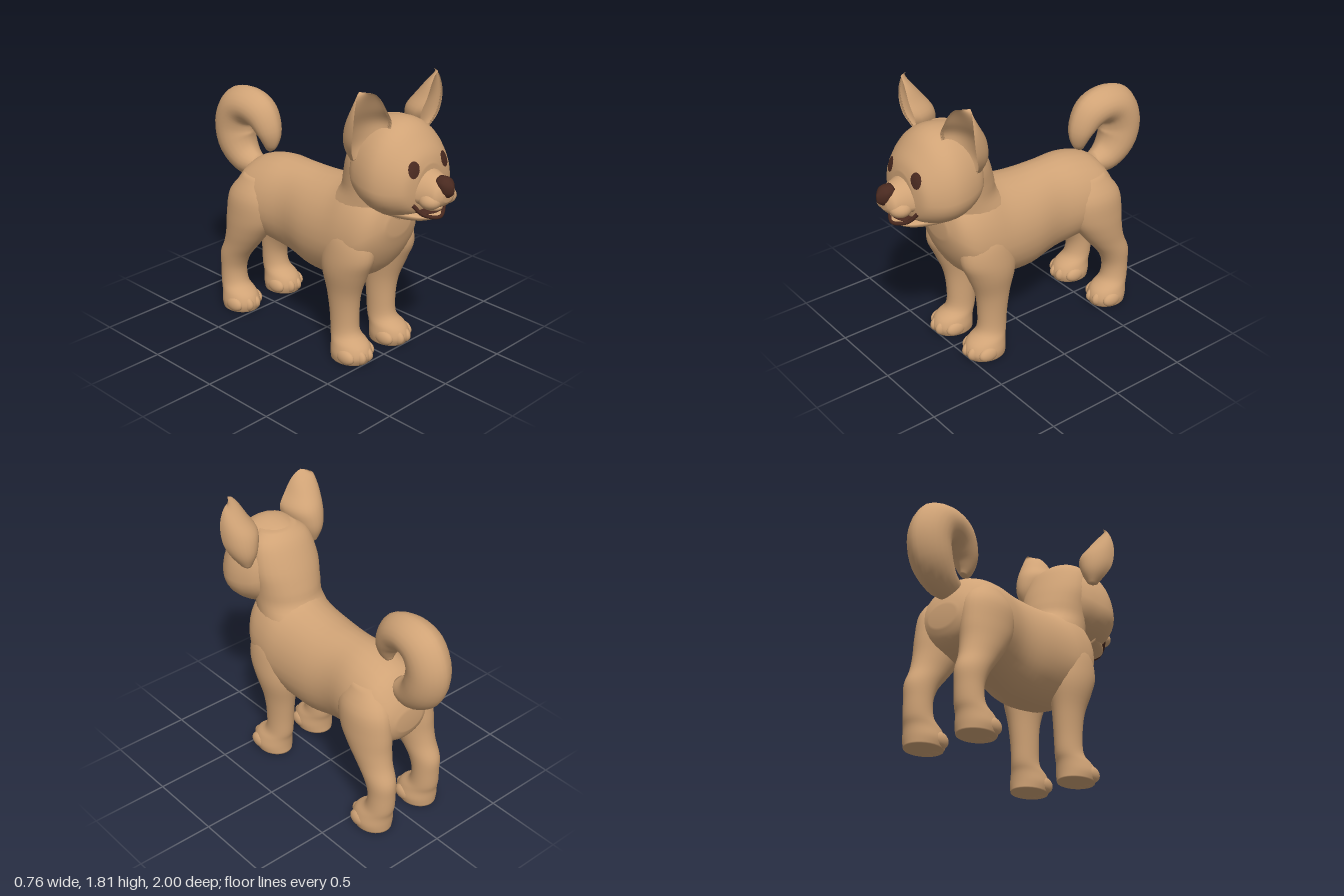
import * as THREE from 'three';

const fur = new THREE.MeshStandardMaterial({ color: 0xd0a376 });
fur.name = 'tanFur';
const dark = new THREE.MeshStandardMaterial({ color: 0x4a2a20 });
dark.name = 'darkBrown';

// Smoothly resample a short list of section parameters
function resample(sections, steps) {
  const out = [];
  const n = sections.length - 1;
  for (let k = 0; k <= n * steps; k++) {
    const i = Math.min(Math.floor(k / steps), n - 1), t = k / steps - i;
    const [a, b, c, d] = [i - 1, i, i + 1, i + 2].map((j) => sections[Math.max(0, Math.min(n, j))]);
    out.push(b.map((v, j) => 0.5 * (2 * v + (c[j] - a[j]) * t
      + (2 * a[j] - 5 * v + 4 * c[j] - d[j]) * t * t
      + (3 * v - a[j] - 3 * c[j] + d[j]) * t * t * t)));
  }
  return out;
}

// Closed skin through rings; ring(section, angle) gives a point
function loft(sections, ring, sides = 28, steps = 4) {
  const rows = resample(sections, steps);
  const pos = [], idx = [];
  for (const s of rows) for (let j = 0; j < sides; j++) pos.push(...ring(s, (j / sides) * Math.PI * 2));
  const last = rows.length - 1;
  for (let i = 0; i < last; i++) for (let j = 0; j < sides; j++) {
    const a = i * sides + j, b = i * sides + (j + 1) % sides;
    idx.push(a, b, a + sides, b, b + sides, a + sides);
  }
  for (const r of [0, last]) {
    const c = [0, 0, 0], centre = pos.length / 3;
    for (let j = 0; j < sides; j++) for (let k = 0; k < 3; k++) c[k] += pos[(r * sides + j) * 3 + k] / sides;
    pos.push(...c);
    for (let j = 0; j < sides; j++) {
      const a = r * sides + j, b = r * sides + (j + 1) % sides;
      idx.push(...(r ? [a, b, centre] : [b, a, centre]));
    }
  }
  // Turn the faces outward
  const P = (i) => new THREE.Vector3().fromArray(pos, i * 3);
  let volume = 0;
  for (let i = 0; i < idx.length; i += 3) volume += P(idx[i]).dot(P(idx[i + 1]).cross(P(idx[i + 2])));
  if (volume < 0) idx.reverse();
  const g = new THREE.BufferGeometry();
  g.setAttribute('position', new THREE.Float32BufferAttribute(pos, 3));
  g.setIndex(idx);
  g.computeVertexNormals();
  return g;
}

// Section [z, bottom, top, halfWidth, height of widest point]
const alongZ = ([z, lo, hi, w, mid], a) => {
  const s = Math.sin(a);
  return [w * Math.cos(a), mid + s * (s > 0 ? hi - mid : mid - lo), z];
};
// Section [y, centreX, halfWidth, centreZ, halfDepth]
const alongY = (side) => ([y, cx, w, cz, d], a) => [side * (cx + w * Math.cos(a)), y, cz + d * Math.sin(a)];
// Section [y, innerX, outerX, frontZ, backZ]: a crescent, hollow to the front
const earRing = (side) => ([y, xi, xo, zf, zb], a) => {
  const u = (1 - Math.cos(a)) / 2, s = Math.sin(a);
  const depth = s >= 0 ? s : -s * 0.6;
  return [side * (xi + (xo - xi) * u), y, zf - 0.06 * u * u - (zf - zb) * depth * (1 - 0.25 * u)];
};
// Section [z, y, radius, halfWidth], radius measured away from the curl's centre
const tailRing = ([z, y, r, w], a) => {
  const dir = new THREE.Vector2(z + 0.67, y - 1.17).normalize();
  const s = Math.sin(a), c = Math.cos(a) * r;
  return [w * Math.sign(s) * Math.abs(s) ** 1.25, y + dir.y * c, z + dir.x * c];
};

export function createModel() {
  const group = new THREE.Group();
  group.name = 'puppy';
  const add = (name, geometry, material = fur) => {
    const m = new THREE.Mesh(geometry, material);
    m.name = name;
    group.add(m);
    return m;
  };
  const blob = (name, p, r, material = fur) => {
    const m = add(name, new THREE.SphereGeometry(1, 20, 14), material);
    m.position.set(...p);
    m.scale.set(...r);
    return m;
  };

  add('torso', loft([
    [-0.72, 0.69, 0.83, 0.1, 0.76], [-0.68, 0.61, 0.93, 0.19, 0.77], [-0.58, 0.56, 1.05, 0.25, 0.79],
    [-0.4, 0.53, 1.105, 0.255, 0.8], [-0.2, 0.49, 1.11, 0.23, 0.8], [0, 0.45, 1.11, 0.26, 0.78],
    [0.2, 0.47, 1.14, 0.275, 0.78], [0.35, 0.51, 1.2, 0.28, 0.8], [0.48, 0.6, 1.18, 0.26, 0.84],
    [0.56, 0.73, 1.12, 0.2, 0.9], [0.6, 0.86, 1.0, 0.1, 0.93]], alongZ));

  add('neck', loft([
    [0.8, 0, 0.25, 0.33, 0.23], [1.0, 0, 0.225, 0.35, 0.26], [1.12, 0, 0.215, 0.41, 0.21],
    [1.22, 0, 0.22, 0.42, 0.19], [1.35, 0, 0.23, 0.44, 0.165], [1.5, 0, 0.2, 0.475, 0.125],
    [1.57, 0, 0.12, 0.51, 0.09]], alongY(1)));

  const head = add('head', loft([
    [0.36, 1.25, 1.48, 0.12, 1.35], [0.42, 1.11, 1.56, 0.24, 1.28], [0.52, 1.04, 1.595, 0.29, 1.25],
    [0.62, 1.02, 1.6, 0.305, 1.24], [0.7, 1.03, 1.565, 0.285, 1.23], [0.77, 1.05, 1.49, 0.24, 1.23],
    [0.81, 1.08, 1.43, 0.19, 1.23], [0.83, 1.12, 1.37, 0.11, 1.23]], alongZ, 36));

  // Muzzle, lips, jaw and mouth
  add('muzzle', loft([
    [0.72, 1.13, 1.38, 0.17, 1.22], [0.82, 1.13, 1.345, 0.13, 1.2], [0.9, 1.14, 1.315, 0.105, 1.2],
    [0.94, 1.15, 1.29, 0.09, 1.2], [0.965, 1.18, 1.25, 0.04, 1.21]], alongZ));
  add('lowerJaw', loft([
    [0.62, 1.02, 1.14, 0.2, 1.09], [0.74, 1.02, 1.11, 0.16, 1.08], [0.83, 1.035, 1.095, 0.115, 1.075],
    [0.89, 1.06, 1.085, 0.06, 1.075], [0.905, 1.07, 1.08, 0.02, 1.075]], alongZ));
  blob('mouthLining', [0, 1.1, 0.825], [0.105, 0.012, 0.07], dark);
  blob('tongue', [0, 1.125, 0.845], [0.055, 0.028, 0.07]);
  const smile = [[-0.135, 1.155, 0.815], [-0.09, 1.095, 0.86], [0, 1.07, 0.905], [0.09, 1.095, 0.86], [0.135, 1.155, 0.815]];
  add('mouthRim', new THREE.TubeGeometry(
    new THREE.CatmullRomCurve3(smile.map((p) => new THREE.Vector3(...p))), 28, 0.012, 8), dark);

  // Nose, narrowing to a point at the front
  add('nose', loft([
    [0.9, 1.22, 1.325, 0.05, 1.28], [0.95, 1.2, 1.325, 0.052, 1.28],
    [0.98, 1.215, 1.305, 0.033, 1.27], [1.0, 1.235, 1.28, 0.006, 1.26]], alongZ, 12), dark);

  // Eyes: thin patches laid on the face
  head.updateMatrixWorld();
  const ray = new THREE.Raycaster();
  const eyeGeometry = (side) => {
    const g = new THREE.RingGeometry(0.0005, 1, 16, 4);
    const p = g.attributes.position;
    for (let i = 0; i < p.count; i++) {
      const x = side * 0.13 + p.getX(i) * 0.037, y = 1.367 + p.getY(i) * 0.047 - side * p.getX(i) * 0.01;
      ray.set(new THREE.Vector3(x, y, 2), new THREE.Vector3(0, 0, -1));
      const hit = ray.intersectObject(head)[0];
      p.setXYZ(i, x, y, (hit ? hit.point.z : 0.8) + 0.006);
    }
    g.computeVertexNormals();
    return g;
  };

  const frontLeg = [
    [0.95, 0.15, 0.07, 0.36, 0.1], [0.85, 0.165, 0.11, 0.36, 0.17], [0.72, 0.178, 0.118, 0.355, 0.19],
    [0.6, 0.178, 0.115, 0.33, 0.165], [0.45, 0.17, 0.092, 0.315, 0.12], [0.3, 0.165, 0.083, 0.315, 0.1],
    [0.18, 0.166, 0.085, 0.325, 0.1], [0.12, 0.172, 0.105, 0.37, 0.13], [0.06, 0.175, 0.118, 0.385, 0.14],
    [0.01, 0.175, 0.108, 0.375, 0.13]];
  const hindLeg = [
    [0.98, 0.13, 0.08, -0.48, 0.11], [0.85, 0.16, 0.122, -0.5, 0.19], [0.7, 0.17, 0.125, -0.52, 0.195],
    [0.58, 0.175, 0.115, -0.56, 0.16], [0.48, 0.18, 0.1, -0.61, 0.13], [0.38, 0.185, 0.09, -0.67, 0.11],
    [0.28, 0.185, 0.083, -0.69, 0.09], [0.18, 0.187, 0.088, -0.68, 0.095], [0.12, 0.19, 0.105, -0.635, 0.125],
    [0.06, 0.19, 0.118, -0.62, 0.135], [0.01, 0.19, 0.108, -0.625, 0.125]];
  const ear = [
    [1.38, 0.21, 0.29, 0.56, 0.46], [1.45, 0.17, 0.34, 0.59, 0.42], [1.52, 0.14, 0.37, 0.62, 0.41],
    [1.6, 0.125, 0.38, 0.637, 0.43], [1.68, 0.17, 0.377, 0.642, 0.49], [1.75, 0.21, 0.36, 0.637, 0.55],
    [1.795, 0.25, 0.337, 0.628, 0.595], [1.812, 0.285, 0.315, 0.62, 0.61]];

  for (const side of [1, -1]) {
    const label = side > 0 ? 'left' : 'right';
    add(label + 'Eye', eyeGeometry(side), dark);
    add(label + 'Lip', new THREE.SphereGeometry(1, 20, 14)).position.set(side * 0.065, 1.185, 0.885);
    group.children.at(-1).scale.set(0.065, 0.052, 0.07);
    add(label + 'Ear', loft(ear, earRing(side)));
    add(label + 'FrontLeg', loft(frontLeg, alongY(side)));
    add(label + 'HindLeg', loft(hindLeg, alongY(side)));
    // Four toes on each paw
    for (const [paw, cx, cz] of [['Front', 0.175, 0.462], ['Hind', 0.19, -0.548]]) {
      for (let i = 0; i < 4; i++) {
        const o = i - 1.5, outer = Math.abs(o) > 1;
        blob(label + paw + 'Toe' + (i + 1), [side * (cx + o * 0.059), 0.06, cz - (outer ? 0.045 : 0)],
          [0.036, outer ? 0.05 : 0.055, 0.072]);
      }
    }
  }

  add('tail', loft([
    [-0.6, 0.97, 0.06, 0.06], [-0.72, 0.98, 0.11, 0.1], [-0.82, 1.07, 0.14, 0.125],
    [-0.852, 1.2, 0.146, 0.13], [-0.8, 1.32, 0.14, 0.13], [-0.69, 1.36, 0.122, 0.125],
    [-0.58, 1.32, 0.115, 0.11], [-0.52, 1.22, 0.085, 0.085], [-0.515, 1.14, 0.055, 0.05],
    [-0.53, 1.1, 0.025, 0.02]], tailRing, 24));

  return group;
}
